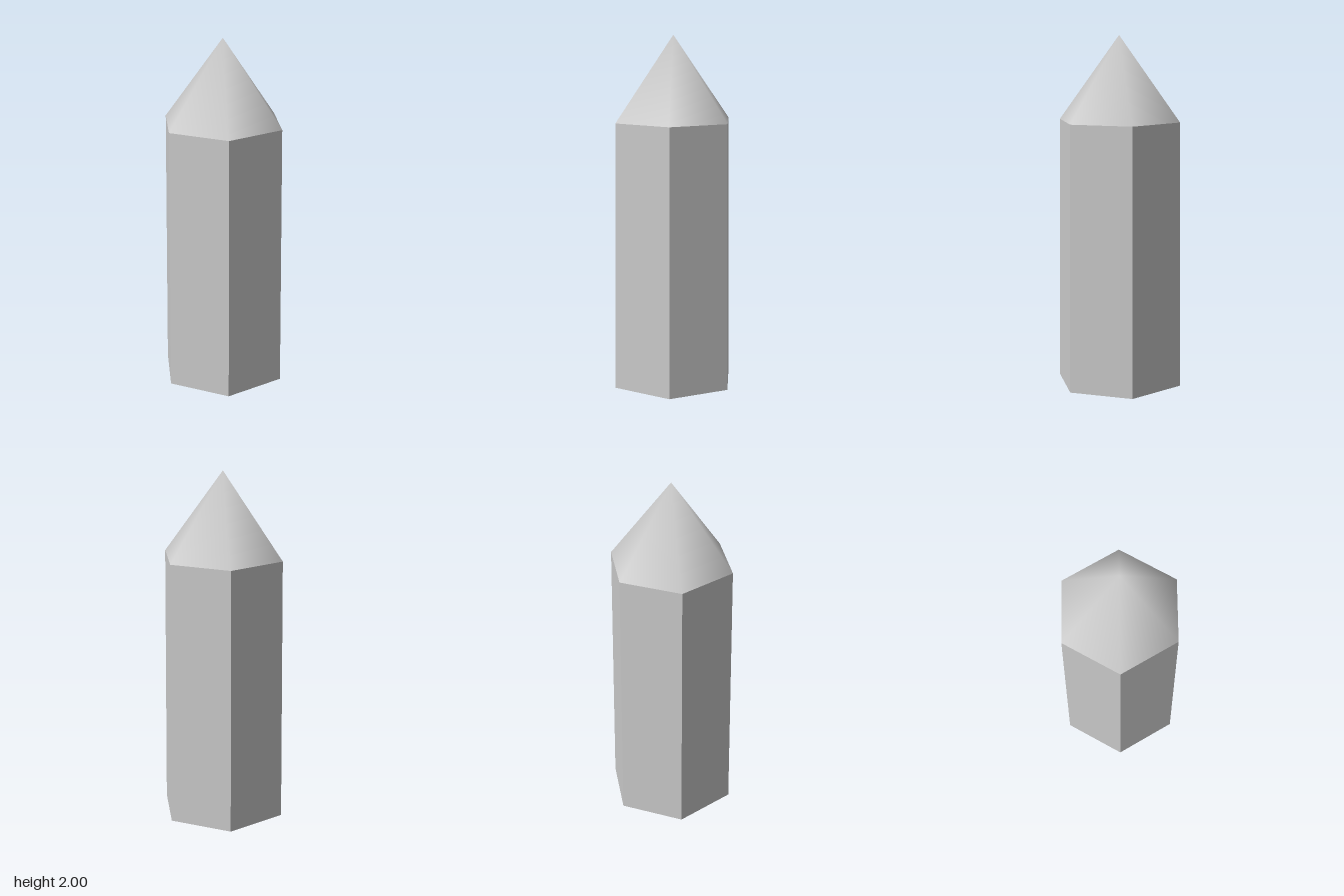
import * as THREE from 'three';
import { mergeVertices } from 'three/addons/utils/BufferGeometryUtils.js';

const SIDES = 6;
const BASE_RADIUS = 0.37;
const RIM_RADIUS = 0.358;
const SHAFT_HEIGHT = 1.52;
const TIP_HEIGHT = 0.48;
const START = Math.PI / 2; // puts a corner on the x axis

export function createModel() {
  const group = new THREE.Group();
  group.name = 'crystal';

  // Slightly tapered, flat-faced hexagonal shaft
  const shaft = new THREE.Mesh(
    new THREE.CylinderGeometry(RIM_RADIUS, BASE_RADIUS, SHAFT_HEIGHT, SIDES, 1, false, START),
    new THREE.MeshStandardMaterial({ color: 0xcccccc, flatShading: true })
  );
  shaft.name = 'shaft';
  shaft.position.y = SHAFT_HEIGHT / 2;

  // Six-sided point, welded so its normals blend smoothly through the apex
  const cone = new THREE.ConeGeometry(RIM_RADIUS, TIP_HEIGHT, SIDES, 1, true, START);
  cone.deleteAttribute('normal');
  cone.deleteAttribute('uv');
  const tipGeometry = mergeVertices(cone);
  tipGeometry.computeVertexNormals();
  const tip = new THREE.Mesh(tipGeometry, new THREE.MeshStandardMaterial({ color: 0xcccccc }));
  tip.name = 'tip';
  tip.position.y = SHAFT_HEIGHT + TIP_HEIGHT / 2;

  group.add(shaft, tip);
  return group;
}
